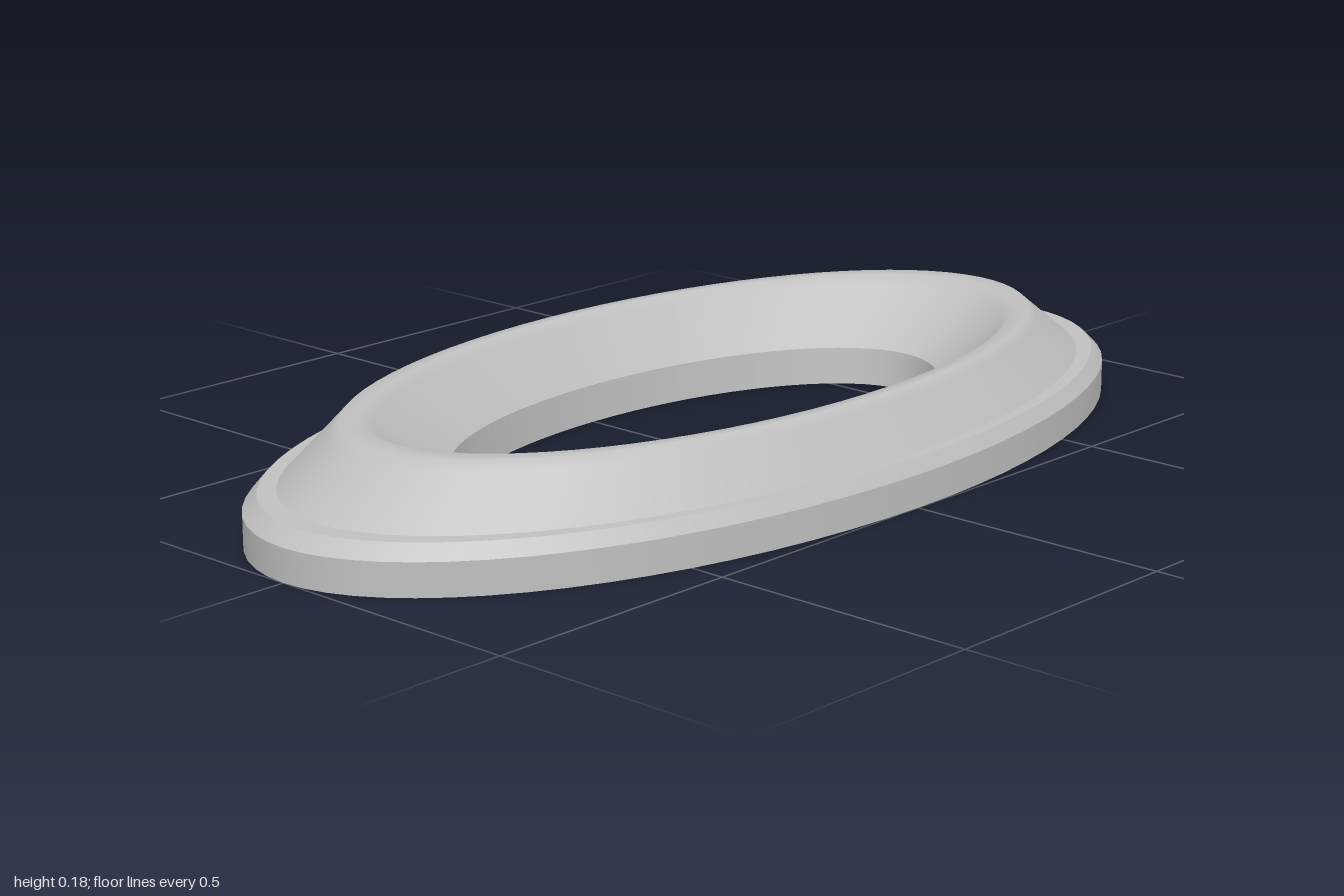
import * as THREE from 'three';

const SEGMENTS = 72;
const DEPTH_RATIO = 0.5;

export function createModel() {
  const group = new THREE.Group();
  group.name = 'ovalBezel';
  const grey = new THREE.MeshStandardMaterial({ color: 0xc0c0c0, side: THREE.DoubleSide });
  grey.name = 'grey';

  // Each band sweeps a short [radius, height] profile round the oval;
  // separate bands keep the edges between them sharp.
  function band(name, profile) {
    const points = profile.map(([r, y]) => new THREE.Vector2(r, y));
    const geometry = new THREE.LatheGeometry(points, SEGMENTS);
    geometry.rotateY(Math.PI / 2);
    geometry.scale(1, 1, DEPTH_RATIO);
    const mesh = new THREE.Mesh(geometry, grey);
    mesh.name = name;
    group.add(mesh);
  }

  // Outer flange, open underneath
  band('outerWall', [[1, 0], [1, 0.06]]);
  band('outerChamfer', [[1, 0.06], [0.97, 0.085]]);
  band('flangeStep', [[0.97, 0.085], [0.93, 0.085]]);

  // Raised ring with a softly rounded crest
  band('raisedRing', [
    [0.93, 0.085], [0.82, 0.165], [0.8, 0.18], [0.755, 0.18], [0.73, 0.165], [0.57, 0.07],
  ]);

  // Lip round the opening
  band('innerWall', [[0.57, 0.07], [0.562, 0]]);

  return group;
}
